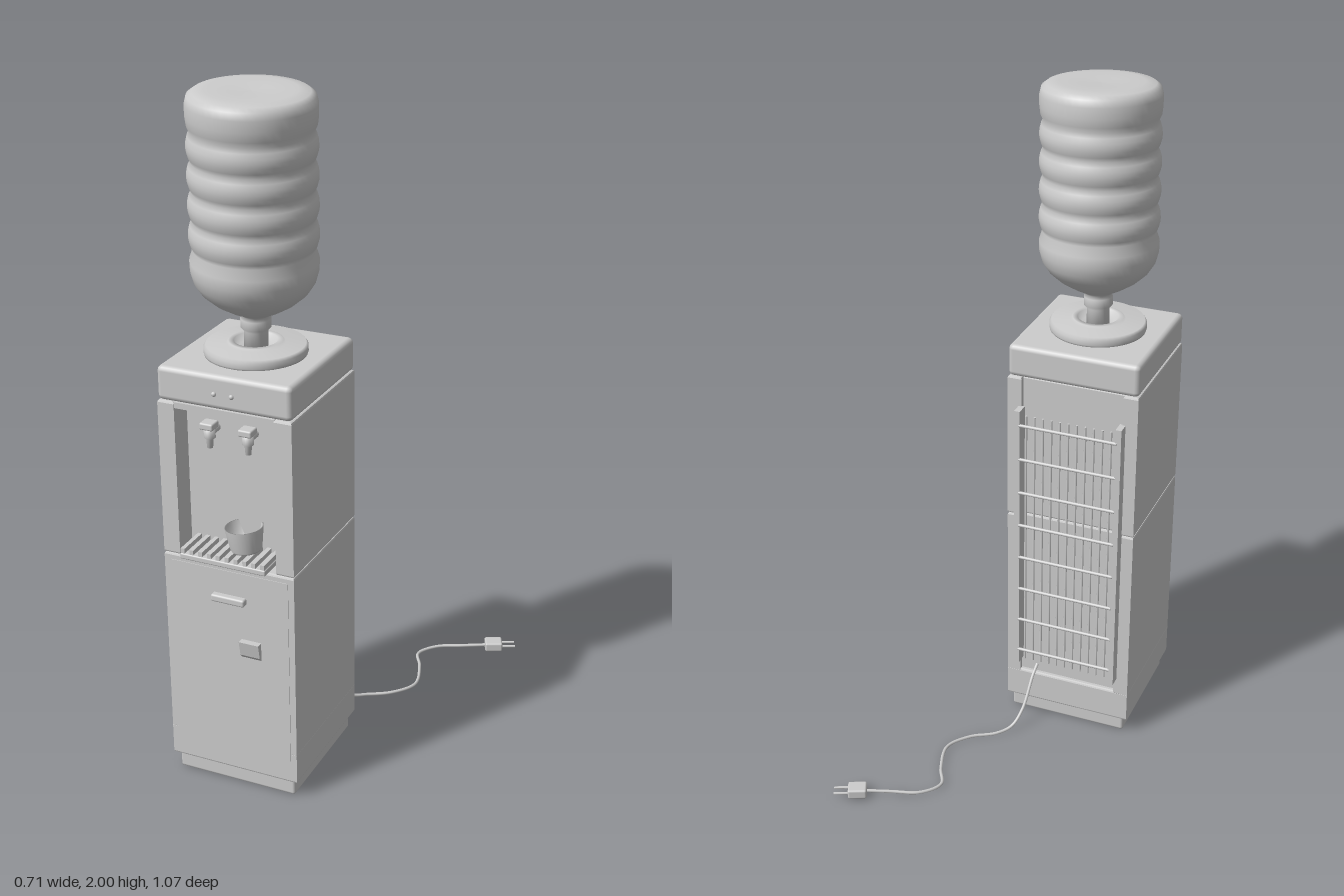
import * as THREE from 'three';
import { RoundedBoxGeometry } from 'three/addons/geometries/RoundedBoxGeometry.js';

export function createModel() {
  const model = new THREE.Group();
  const grey = new THREE.MeshStandardMaterial({ color: 0xcccccc });
  grey.name = 'light grey';
  grey.side = THREE.DoubleSide;
  const CX = -0.155, CZ = 0.29;

  const add = (name, geo, x = 0, y = 0, z = 0, parent = model) => {
    const m = new THREE.Mesh(geo, grey);
    m.name = name;
    m.position.set(x, y, z);
    parent.add(m);
    return m;
  };
  // box given by its limits
  const box = (name, x0, x1, y0, y1, z0, z1, r = 0) => add(name,
    r ? new RoundedBoxGeometry(x1 - x0, y1 - y0, z1 - z0, 2, r) : new THREE.BoxGeometry(x1 - x0, y1 - y0, z1 - z0),
    (x0 + x1) / 2, (y0 + y1) / 2, (z0 + z1) / 2);
  const cyl = (r0, r1, h, n = 20) => new THREE.CylinderGeometry(r0, r1, h, n);
  const lathe = (pts, n = 48) => new THREE.LatheGeometry(pts.map(p => new THREE.Vector2(...p)), n);

  // cabinet section: footprint with front and back notches, extruded upward
  const section = (name, y0, y1, front, back) => {
    const b = 0.006, X0 = -0.355, X1 = 0.043, Z0 = 0.087, Z1 = 0.495;
    const pts = [[X0, Z1]];
    if (front) pts.push([-0.305, Z1], [-0.305, Z1 - front], [-0.01, Z1 - front], [-0.01, Z1]);
    pts.push([X1, Z1], [X1, Z0]);
    if (back) pts.push([0.0, Z0], [0.0, Z0 + back], [-0.31, Z0 + back], [-0.31, Z0]);
    pts.push([X0, Z0]);
    const geo = new THREE.ExtrudeGeometry(new THREE.Shape(pts.map(([x, z]) => new THREE.Vector2(x, -z))), {
      depth: y1 - y0 - 2 * b, bevelThickness: b, bevelSize: b, bevelOffset: -b, bevelSegments: 2,
    });
    geo.rotateX(-Math.PI / 2);
    add(name, geo, 0, y0 + b, 0);
  };

  // cabinet
  box('base', -0.34, 0.03, 0, 0.055, 0.1, 0.484, 0.008);
  section('lowerCabinetFoot', 0.05, 0.15, 0, 0);
  section('lowerCabinet', 0.14, 0.714, 0, 0.015);
  section('upperCabinet', 0.714, 1.172, 0.07, 0.015);
  box('recessLintel', -0.307, -0.008, 1.155, 1.172, 0.42, 0.493);
  box('lid', -0.355, 0.043, 1.172, 1.27, 0.087, 0.495, 0.015);
  box('door', -0.335, 0.025, 0.09, 0.695, 0.488, 0.497);
  box('doorHandle', -0.205, -0.102, 0.6, 0.622, 0.49, 0.515, 0.006);

  // wedge shaped cup catch on the door
  const wedge = new THREE.ExtrudeGeometry(new THREE.Shape([
    new THREE.Vector2(0, 0.43), new THREE.Vector2(0.013, 0.445), new THREE.Vector2(0.022, 0.49), new THREE.Vector2(0, 0.49),
  ]), { depth: 0.06, bevelEnabled: false });
  wedge.rotateY(-Math.PI / 2);
  add('doorCatch', wedge, -0.06, 0, 0.494);

  // indicator lamps and taps
  for (const x of [-0.182, -0.13]) {
    const lamp = add('indicatorLamp', new THREE.SphereGeometry(0.007, 12, 8), x, 1.217, 0.496);
    lamp.scale.z = 0.9;
  }
  for (const x of [-0.215, -0.1]) {
    const tap = new THREE.Group();
    tap.name = 'tap';
    tap.position.set(x, 0, 0.465);
    model.add(tap);
    add('tapPipe', cyl(0.012, 0.012, 0.06).rotateX(Math.PI / 2), 0, 1.09, -0.02, tap);
    add('tapBody', lathe([[0, 1.045], [0.008, 1.045], [0.01, 1.07], [0.016, 1.075], [0.016, 1.1], [0, 1.1]], 20), 0, 0, 0, tap);
    add('tapLever', new RoundedBoxGeometry(0.04, 0.02, 0.04, 2, 0.005), 0, 1.112, 0.003, tap);
  }

  // drip tray with ribs and a small tilted cup
  box('dripTray', -0.285, -0.025, 0.725, 0.742, 0.425, 0.533, 0.004);
  for (let i = 0; i < 10; i++) {
    const x = -0.277 + i * 0.027;
    box('trayRib', x - 0.006, x + 0.006, 0.74, 0.756, 0.43, 0.53);
  }
  const cup = add('cup', lathe([[0, 0], [0.04, 0], [0.044, 0.006], [0.054, 0.07], [0.051, 0.07], [0.04, 0.008], [0, 0.008]], 28), -0.115, 0.755, 0.462);
  cup.rotation.z = 0.09;

  // collar and bottle
  add('collar', lathe([[0, 1.268], [0.14, 1.268], [0.142, 1.275], [0.142, 1.29], [0.136, 1.298], [0.08, 1.3],
    [0.075, 1.306], [0.06, 1.306], [0.05, 1.285], [0, 1.285]]), CX, 0, 0.298);
  const profile = [[0, -0.02], [0.033, -0.02], [0.033, 0.035], [0.042, 0.045], [0.042, 0.07], [0.036, 0.078],
    [0.05, 0.088], [0.078, 0.102], [0.115, 0.125], [0.145, 0.152], [0.163, 0.18], [0.171, 0.21], [0.172, 0.24]];
  // ribbed wall: rounded bands between shallow grooves
  for (let k = 0; k < 4; k++) {
    const y = 0.27 + k * 0.08;
    for (const [r, dy] of [[0.162, 0], [0.168, 0.013], [0.172, 0.028], [0.173, 0.04], [0.172, 0.052], [0.168, 0.067]]) {
      profile.push([r - k * 0.0005, y + dy]);
    }
  }
  profile.push([0.161, 0.59], [0.168, 0.605], [0.171, 0.63], [0.171, 0.66], [0.166, 0.68], [0.152, 0.69], [0.12, 0.695], [0.06, 0.692], [0, 0.69]);
  const bottle = add('bottle', lathe(profile), CX, 1.3, 0.296);
  bottle.rotation.set(0.045, 0, -0.027);

  // condenser grille on the back
  for (const x of [-0.31, 0]) box('grilleRail', x - 0.009, x + 0.009, 0.2, 1.08, 0.052, 0.092);
  for (let i = 0; i < 8; i++) {
    add('grilleCrossRod', cyl(0.005, 0.005, 0.3, 8).rotateZ(Math.PI / 2), CX, 0.25 + i * 0.112, 0.055);
  }
  for (let i = 0; i < 11; i++) {
    add('grilleWire', cyl(0.0035, 0.0035, 0.85, 8), -0.285 + i * 0.026, 0.64, 0.063);
  }

  // power cord and plug
  const path = new THREE.CatmullRomCurve3([
    [-0.052, 0.175, 0.1], [-0.049, 0.15, 0.07], [-0.04, 0.06, 0.005], [-0.02, 0.018, -0.035], [0.015, 0.007, -0.073],
    [0.085, 0.006, -0.12], [0.13, 0.006, -0.19], [0.105, 0.007, -0.295], [0.073, 0.008, -0.365],
    [0.115, 0.01, -0.425], [0.19, 0.014, -0.457], [0.262, 0.018, -0.487],
  ].map(p => new THREE.Vector3(...p)));
  add('powerCord', new THREE.TubeGeometry(path, 100, 0.005, 8));
  const plug = new THREE.Group();
  plug.name = 'plug';
  plug.position.set(0.285, 0.02, -0.497);
  plug.rotation.y = 0.42;
  model.add(plug);
  add('plugBody', new RoundedBoxGeometry(0.056, 0.03, 0.048, 2, 0.006), 0, 0, 0, plug);
  for (const s of [-1, 1]) add('plugPin', cyl(0.004, 0.004, 0.045, 10).rotateZ(Math.PI / 2), 0.047, 0, s * 0.013, plug);

  return model;
}
